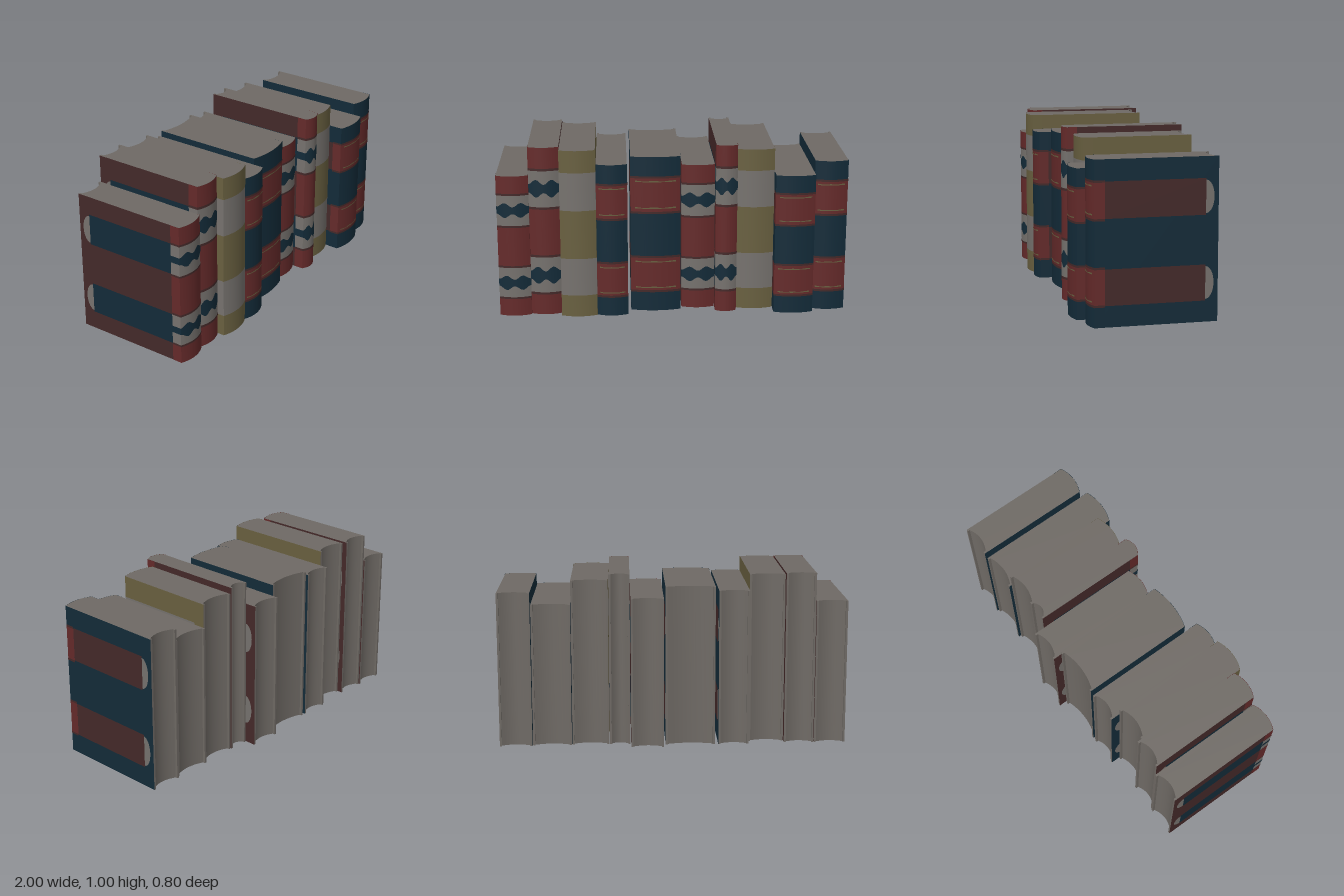
import * as THREE from 'three';
import { toCreasedNormals } from 'three/addons/utils/BufferGeometryUtils.js';

const paint = (name, color) =>
  new THREE.MeshStandardMaterial({ name, color, side: THREE.DoubleSide });
const M = {
  pages: paint('page grey', 0x6e6964),
  pale: paint('pale grey', 0x76726e),
  red: paint('spine red', 0x652a2a),
  maroon: paint('cover maroon', 0x442929),
  blue: paint('navy blue', 0x132b39),
  tan: paint('olive tan', 0x696040),
};

const BOARD = 0.012, HINGE = 0.055, BULGE = 0.022;
const STRIPES = [0.24, 0.76]; // stripe centres as a share of the height

// Colour scheme of each kind of book
const KINDS = {
  red: { spine: 'red', board: 'maroon', band: 'pale', stripe: 'blue', edge: 'maroon' },
  blue: { spine: 'blue', board: 'blue', band: 'red', stripe: 'maroon', edge: 'maroon' },
  tan: { spine: 'tan', board: 'tan', band: 'pale', stripe: 'pale' },
};

// kind, left x, right x, height, rear z, front z
const BOOKS = [
  ['red', -1.0, -0.82, 0.835, -0.335, 0.35],
  ['red', -0.818, -0.645, 0.995, -0.33, 0.335],
  ['tan', -0.643, -0.44, 0.985, -0.3, 0.378],
  ['blue', -0.437, -0.262, 0.9, -0.355, 0.372],
  ['blue', -0.242, 0.043, 0.925, -0.355, 0.3],
  ['red', 0.053, 0.242, 0.865, -0.4, 0.262],
  ['red', 0.246, 0.366, 0.995, -0.335, 0.33],
  ['tan', 0.369, 0.581, 0.96, -0.33, 0.29],
  ['blue', 0.584, 0.808, 0.825, -0.345, 0.372],
  ['blue', 0.811, 0.999, 0.895, -0.355, 0.32],
];

function createBook([kind, x0, x1, h, zb, zf]) {
  const K = KINDS[kind], book = new THREE.Group();
  book.name = kind + 'Book';
  const w = x1 - x0;
  const add = (name, geo, mat) => {
    const mesh = new THREE.Mesh(geo, mat);
    mesh.name = name;
    book.add(mesh);
    return mesh;
  };
  const frontZ = u => zf + BULGE * (1 - (2 * u - 1) ** 2);

  // Page block with rounded front and hollow fore-edge
  const outline = [];
  for (let i = 0; i <= 12; i++) outline.push(new THREE.Vector2(x0 + w * i / 12, -frontZ(i / 12)));
  const a = x0 + BOARD, b = x1 - BOARD;
  outline.push(new THREE.Vector2(b, -zf));
  for (let i = 0; i <= 10; i++) {
    const u = 1 - i / 10;
    const z = zb + 0.014 + 0.022 * (1 - (2 * u - 1) ** 2);
    outline.push(new THREE.Vector2(a + (b - a) * u, -z));
  }
  outline.push(new THREE.Vector2(a, -zf));
  const block = new THREE.ExtrudeGeometry(new THREE.Shape(outline), { depth: h, bevelEnabled: false });
  block.rotateX(-Math.PI / 2);
  add('pageBlock', toCreasedNormals(block, 0.5), M.pages);

  // Vertical ribbon around the spine, u from 0 to 1 across the front
  function ribbon(name, mat, lo, hi, off, u0 = 0, u1 = 1, wrap = true) {
    const path = [], n = 20;
    if (wrap) path.push([x0 - off, zf - HINGE, u0]);
    for (let i = 0; i <= n; i++) {
      const u = u0 + (u1 - u0) * i / n;
      path.push([x0 - off + (w + 2 * off) * u, frontZ(u) + off, u]);
    }
    if (wrap) path.push([x1 + off, zf - HINGE, u1]);
    const pos = [], idx = [];
    path.forEach(([x, z, u], i) => {
      pos.push(x, lo(u), z, x, hi(u), z);
      const k = i * 2;
      if (i) idx.push(k - 2, k, k - 1, k - 1, k, k + 1);
    });
    const geo = new THREE.BufferGeometry();
    geo.setAttribute('position', new THREE.Float32BufferAttribute(pos, 3));
    geo.setIndex(idx);
    geo.computeVertexNormals();
    add(name, toCreasedNormals(geo, 0.6), M[mat]);
  }
  const level = y => () => y * h;

  // Spine split into bands
  const cuts = [0, 0.13, 0.355, 0.645, 0.87, 1];
  for (let i = 0; i < 5; i++) {
    const band = i % 2 === 1;
    ribbon(band ? 'spineBand' : 'spine', band ? K.band : K.spine,
      level(cuts[i]), level(cuts[i + 1]), 0.0012);
  }

  STRIPES.forEach((c, s) => {
    if (K.edge) { // dark borders of the bands
      const [lo, hi] = s ? [0.645, 0.87] : [0.13, 0.355];
      ribbon('bandBorder', K.edge, level(lo - 0.008), level(lo + 0.006), 0.002);
      ribbon('bandBorder', K.edge, level(hi - 0.006), level(hi + 0.008), 0.002);
    }
    if (kind === 'red') { // wavy ornament
      const half = u => h * (0.038 - 0.014 * Math.cos(4 * Math.PI * u));
      ribbon('spineWave', 'blue', u => c * h - half(u), u => c * h + half(u), 0.002);
    }
    if (kind === 'blue') { // thin pale rules
      for (const d of [-0.085, 0.085])
        ribbon('spineRule', 'tan', u => h * (c + d - 0.004),
          u => h * (c + d + 0.003 + 0.002 * Math.sin(17 * u)), 0.003, 0.1, 0.9, false);
    }
  });

  // Cover boards with painted stripes, mirrored to both sides
  for (const side of [-1, 1]) {
    const outer = side > 0 ? x1 : x0;
    const board = new THREE.BoxGeometry(BOARD, h, zf - zb);
    const mats = Array(6).fill(M.pages);
    mats[side > 0 ? 0 : 1] = M[K.board];
    add('coverBoard', board, mats).position.set(outer - side * BOARD / 2, h / 2, (zf + zb) / 2);

    for (const c of STRIPES) {
      const front = zf - HINGE, rear = zb + 0.07;
      const strip = new THREE.PlaneGeometry(front - rear, 0.22 * h);
      strip.rotateY(side * Math.PI / 2);
      add('coverStripe', strip, M[K.stripe])
        .position.set(outer + side * 0.001, c * h, (front + rear) / 2);

      // Half-moon at the rear end of the stripe
      const moon = new THREE.CircleGeometry(1, 24, side > 0 ? -Math.PI / 2 : Math.PI / 2, Math.PI);
      moon.scale(0.046, 0.1 * h, 1);
      moon.rotateY(side * Math.PI / 2);
      add('stripeEnd', moon, M.pale).position.set(outer + side * 0.001, c * h, rear);
    }
  }
  return book;
}

export function createModel() {
  const model = new THREE.Group();
  model.name = 'bookRow';
  BOOKS.forEach(spec => model.add(createBook(spec)));
  return model;
}
